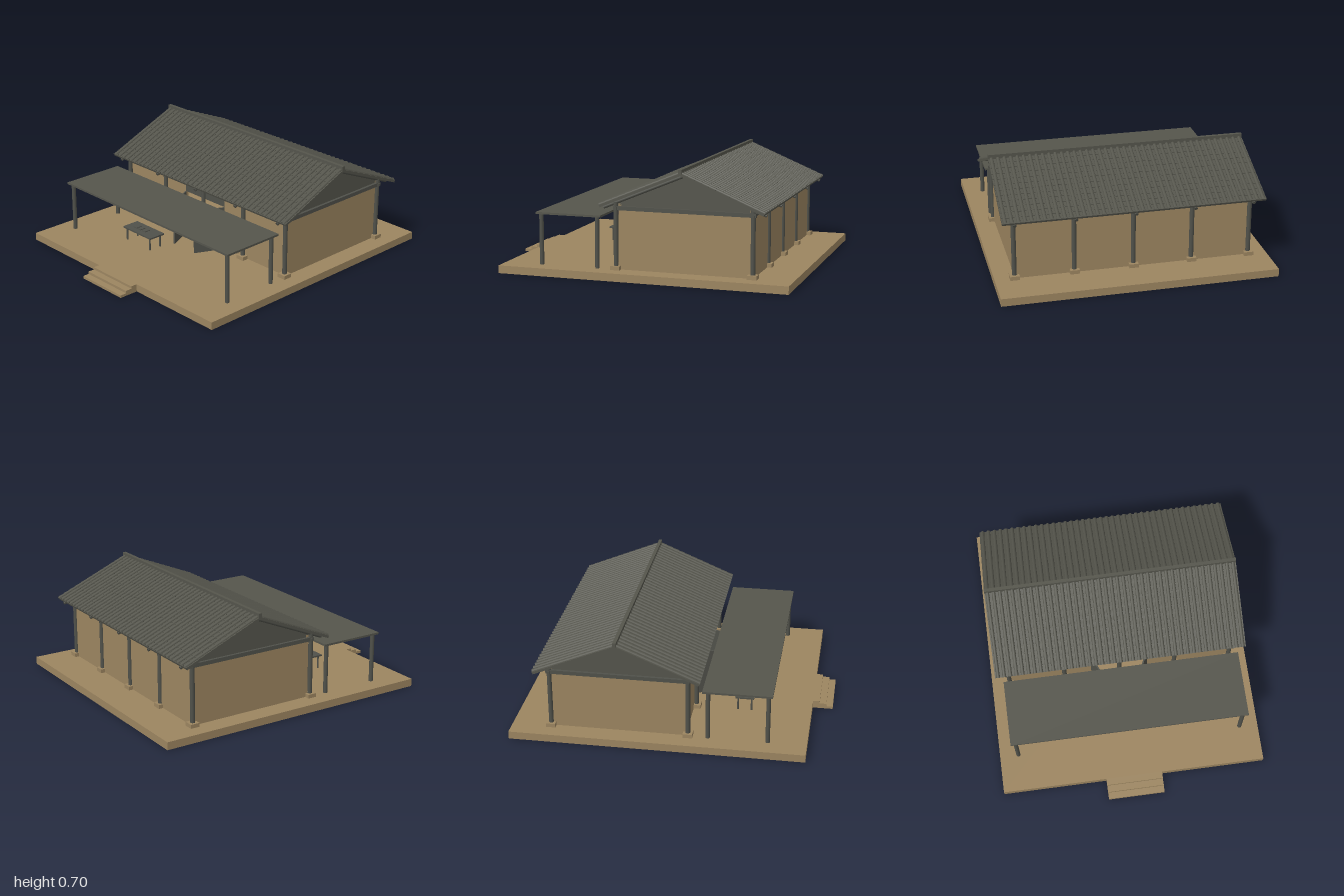
import * as THREE from 'three';
import { mergeGeometries } from 'three/addons/utils/BufferGeometryUtils.js';

const earth = new THREE.MeshStandardMaterial({ color: 0x9c8560 });
earth.name = 'earth';
const slate = new THREE.MeshStandardMaterial({ color: 0x55554c, side: THREE.DoubleSide });
slate.name = 'slate';
const timber = new THREE.MeshStandardMaterial({ color: 0x50514a });
timber.name = 'timber';

const RIDGE_Z = -0.315;
const BAYS = [-0.75, -0.375, 0, 0.375, 0.75];

function add(parent, name, geometry, material, x = 0, y = 0, z = 0) {
  const mesh = new THREE.Mesh(geometry, material);
  mesh.name = name;
  mesh.position.set(x, y, z);
  parent.add(mesh);
  return mesh;
}

// box given by its lower and upper corners
function block(parent, name, material, x0, x1, y0, y1, z0, z1) {
  return add(parent, name, new THREE.BoxGeometry(x1 - x0, y1 - y0, z1 - z0), material,
    (x0 + x1) / 2, (y0 + y1) / 2, (z0 + z1) / 2);
}

function post(parent, name, r, x, z, y0, y1) {
  return add(parent, name, new THREE.CylinderGeometry(r, r, y1 - y0, 12), timber, x, (y0 + y1) / 2, z);
}

function group(parent, name) {
  const g = new THREE.Group();
  g.name = name;
  parent.add(g);
  return g;
}

function buildPlatform(root) {
  const g = group(root, 'platform');
  block(g, 'terrace', earth, -0.873, 0.873, 0, 0.05, -1, 0.87);
  [[0.05, 0.913], [0.034, 0.957], [0.017, 1]].forEach(([h, z], i) =>
    block(g, 'step' + (i + 1), earth, -0.187, 0.187, 0, h, i ? [0, 0.913, 0.957][i] : 0.87, z));
}

function buildHouse(root) {
  const g = group(root, 'house');
  const top = 0.465, zf = 0.11, zb = -0.75;
  block(g, 'backWall', earth, -0.745, 0.745, 0.05, top, zb, zb + 0.02);
  for (const s of [-1, 1]) {
    block(g, 'sideWall', earth, s * 0.735 - 0.01, s * 0.735 + 0.01, 0.05, 0.43, zb + 0.02, zf - 0.02);
    const [a, b] = s < 0 ? [-0.745, -0.187] : [0.187, 0.745];
    block(g, 'frontWall', earth, a, b, 0.05, top, zf - 0.02, zf);

    // gable triangle and tie beam
    const shape = new THREE.Shape([[-0.43, 0.43], [0.43, 0.43], [0.43, 0.482], [0, 0.66], [-0.43, 0.482]]
      .map(([u, v]) => new THREE.Vector2(u, v)));
    const gable = new THREE.ExtrudeGeometry(shape, { depth: 0.02, bevelEnabled: false });
    gable.rotateY(Math.PI / 2);
    add(g, 'gable', gable, slate, s * 0.735 - 0.01, 0, RIDGE_Z);
    block(g, 'tieBeam', timber, s * 0.75 - 0.012, s * 0.75 + 0.012, 0.425, 0.45, -0.77, 0.14);
  }
  // doorway head and transom
  block(g, 'transom', timber, -0.187, 0.187, 0.35, 0.42, 0.092, 0.112);
  block(g, 'doorHead', earth, -0.187, 0.187, 0.42, top, 0.09, 0.11);

  // posts on stone blocks, with wall plates along the eaves
  for (const z of [0.125, -0.75]) {
    for (const x of BAYS) {
      post(g, 'housePost', 0.015, x, z, 0.05, 0.475);
      block(g, 'postBase', earth, x - 0.03, x + 0.03, 0.05, 0.075, z - 0.03, z + 0.03);
    }
    block(g, 'wallPlate', timber, -0.77, 0.77, 0.428, 0.446, z - 0.01, z + 0.01);
  }

  // pair of doors standing open
  for (const s of [-1, 1]) {
    const hinge = group(g, s < 0 ? 'rightDoor' : 'leftDoor');
    hinge.position.set(s * 0.187, 0.05, 0.112);
    hinge.rotation.y = -s * 0.44;
    block(hinge, 'doorLeaf', timber, -0.005, 0.005, 0, 0.298, 0, 0.21);
  }
}

function buildRoof(root) {
  const g = group(root, 'roof');
  const L = 0.565, W = 1.656, columns = 41, rows = 12;
  const pitch = W / columns, step = L / rows;

  // one slope's tiles: lapped flat courses below rounded cover tiles
  const pans = [], covers = [];
  for (let r = 0; r < rows; r++) {
    const z = (r + 0.5) * step;
    pans.push(new THREE.BoxGeometry(W, 0.005, step * 1.1).rotateX(-0.06).translate(0, 0, z));
    for (let c = 0; c < columns; c++) {
      covers.push(new THREE.CylinderGeometry(0.0135, 0.0105, step * 1.04, 6, 1, true, Math.PI / 2, Math.PI)
        .rotateX(Math.PI / 2).translate((c + 0.5) * pitch - W / 2, 0.002, z));
    }
  }
  const panGeometry = mergeGeometries(pans), coverGeometry = mergeGeometries(covers);

  for (const side of ['front', 'back']) {
    const slope = group(g, side + 'Slope');
    slope.position.set(0, 0.678, RIDGE_Z);
    slope.rotation.order = 'YXZ';
    slope.rotation.set(0.395, side === 'front' ? 0 : Math.PI, 0);
    block(slope, 'roofBoard', slate, -W / 2, W / 2, -0.013, 0, 0, L);
    add(slope, 'panTiles', panGeometry, slate);
    add(slope, 'coverTiles', coverGeometry, slate);
    // rafters reach just past the eave
    for (const x of BAYS) {
      const rafter = new THREE.CylinderGeometry(0.011, 0.011, L + 0.005, 10).rotateX(Math.PI / 2);
      add(slope, 'rafter', rafter, timber, x, -0.021, L / 2 + 0.0025);
    }
  }
  block(g, 'ridgeCap', slate, -W / 2, W / 2, 0.672, 0.703, RIDGE_Z - 0.011, RIDGE_Z + 0.011);
}

function buildCanopy(root) {
  const g = group(root, 'canopy');
  block(g, 'canopyTop', slate, -0.78, 0.78, 0.375, 0.388, 0.217, 0.652);
  for (const x of [-0.75, 0.75]) {
    for (const z of [0.25, 0.625]) post(g, 'canopyPost', 0.014, x, z, 0.05, 0.376);
  }
}

function buildTable(root) {
  const g = group(root, 'table');
  block(g, 'tableTop', timber, -0.385, -0.11, 0.136, 0.146, 0.378, 0.5);
  for (const x of [-0.365, -0.135]) {
    for (const z of [0.395, 0.483]) post(g, 'tableLeg', 0.006, x, z, 0.05, 0.137);
  }
  // trays laid out on the table
  for (const x of [-0.31, -0.27, -0.225]) {
    block(g, 'tray', timber, x - 0.016, x + 0.016, 0.146, 0.151, 0.418, 0.46);
  }
}

export function createModel() {
  const root = new THREE.Group();
  root.name = 'courtyardHouse';
  buildPlatform(root);
  buildHouse(root);
  buildRoof(root);
  buildCanopy(root);
  buildTable(root);
  return root;
}
